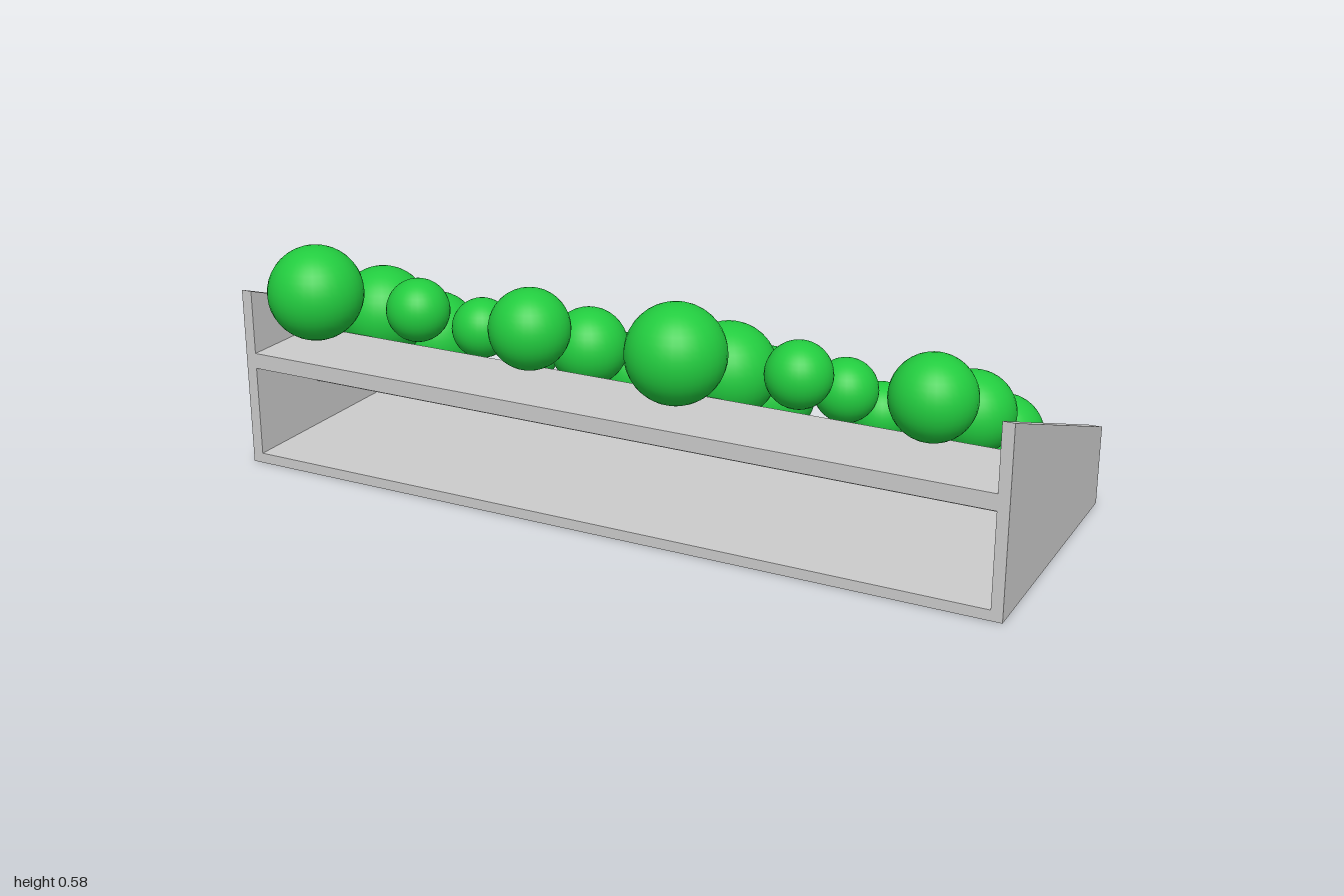
import * as THREE from 'three';

const FRONT = 0.342, BACK = -0.384, WALL = 0.028;

export function createModel() {
  const model = new THREE.Group();
  model.name = 'fruitStand';
  const grey = new THREE.MeshStandardMaterial({ color: 0xcccccc });
  const green = new THREE.MeshStandardMaterial({ color: 0x22cc3f });

  const add = (name, geometry, material, x, y, z) => {
    const mesh = new THREE.Mesh(geometry, material);
    mesh.name = name;
    mesh.position.set(x, y, z);
    model.add(mesh);
    return mesh;
  };

  // Sloped side panels, tall at the front; profile drawn in (-z, y)
  const profile = new THREE.Shape([
    new THREE.Vector2(-FRONT, 0),
    new THREE.Vector2(-BACK, 0),
    new THREE.Vector2(-BACK, 0.2),
    new THREE.Vector2(-FRONT, 0.461),
  ]);
  const panel = new THREE.ExtrudeGeometry(profile, { depth: WALL, bevelEnabled: false });
  panel.rotateY(Math.PI / 2);
  add('leftPanel', panel, grey, 1 - WALL, 0, 0);
  add('rightPanel', panel, grey, -1, 0, 0);

  // Base board between the panels
  const width = 2 - 2 * WALL;
  add('base', new THREE.BoxGeometry(width, 0.026, FRONT - BACK), grey, 0, 0.013, (FRONT + BACK) / 2);

  // Three stepped shelves, each with a row of balls in three sizes
  const depth = (FRONT - BACK) / 3;
  const shelf = new THREE.BoxGeometry(width, 0.04, depth);
  const rows = [
    { shelfY: 0.277, ballY: 0.456, ballZ: 0.263 },
    { shelfY: 0.166, ballY: 0.326, ballZ: -0.021 },
    { shelfY: 0.066, ballY: 0.188, ballZ: -0.26 },
  ];
  // The top view fixes left to right order: large, small, medium, twice
  const balls = [
    { name: 'largeBall', radius: 0.12, xs: [-0.832, 0.174] },
    { name: 'smallBall', radius: 0.078, xs: [-0.527, 0.479] },
    { name: 'mediumBall', radius: 0.099, xs: [-0.213, 0.793] },
  ].map((b) => ({ ...b, geometry: new THREE.SphereGeometry(b.radius, 32, 20) }));

  rows.forEach(({ shelfY, ballY, ballZ }, i) => {
    add('shelf', shelf, grey, 0, shelfY, FRONT - depth * (i + 0.5));
    for (const { name, geometry, xs } of balls) {
      for (const x of xs) add(name, geometry, green, x, ballY, ballZ);
    }
  });

  return model;
}
